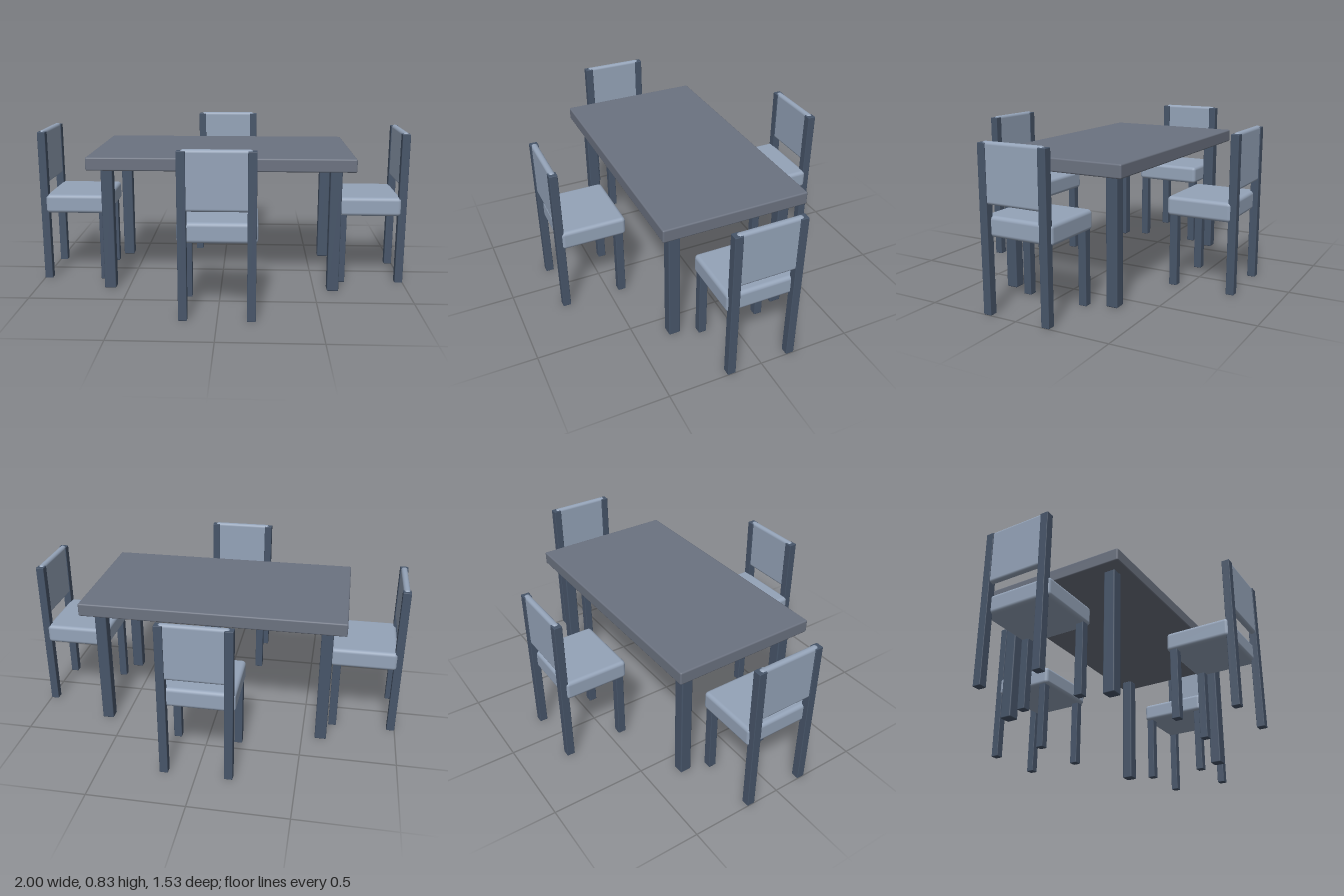
import * as THREE from 'three';
import { RoundedBoxGeometry } from 'three/addons/geometries/RoundedBoxGeometry.js';

const tableMat = new THREE.MeshStandardMaterial({ color: 0x6b7280 });
const woodMat = new THREE.MeshStandardMaterial({ color: 0x475569 });
const padMat = new THREE.MeshStandardMaterial({ color: 0x94a3b8 });

// Rounded block given by its size, centre and edge radius
function block(name, [w, h, d], [x, y, z], radius, material) {
  const mesh = new THREE.Mesh(new RoundedBoxGeometry(w, h, d, 3, radius), material);
  mesh.name = name;
  mesh.position.set(x, y, z);
  return mesh;
}

// Chair with its backrest towards local +z; z = 0 is midway between its legs
function createChair(name) {
  const chair = new THREE.Group();
  chair.name = name;
  chair.add(block('seat', [0.39, 0.103, 0.352], [0, 0.431, -0.022], 0.02, padMat));
  chair.add(block('backrest', [0.34, 0.295, 0.034], [0, 0.6875, 0.16], 0.016, padMat));
  for (const side of [-1, 1]) {
    const label = side > 0 ? 'Left' : 'Right';
    chair.add(block('frontLeg' + label, [0.043, 0.39, 0.043], [side * 0.166, 0.195, -0.16], 0.003, woodMat));
    chair.add(block('backPost' + label, [0.043, 0.828, 0.043], [side * 0.166, 0.414, 0.16], 0.003, woodMat));
  }
  return chair;
}

// Table top on four square legs
function createTable() {
  const table = new THREE.Group();
  table.name = 'table';
  table.add(block('tableTop', [1.394, 0.07, 0.784], [0, 0.694, 0], 0.008, tableMat));
  for (const x of [-0.6, 0.6]) {
    for (const z of [-0.303, 0.303]) {
      table.add(block('tableLeg', [0.062, 0.662, 0.062], [x, 0.331, z], 0.006, woodMat));
    }
  }
  return table;
}

export function createModel() {
  const model = new THREE.Group();
  model.name = 'diningSet';
  model.add(createTable());

  // One chair on each side, facing the table
  const places = [
    ['frontChair', 0, 0.585],
    ['leftChair', Math.PI / 2, 0.8185],
    ['backChair', Math.PI, 0.585],
    ['rightChair', -Math.PI / 2, 0.8185],
  ];
  for (const [name, angle, distance] of places) {
    const chair = createChair(name);
    chair.rotation.y = angle;
    chair.position.set(Math.sin(angle) * distance, 0, Math.cos(angle) * distance);
    model.add(chair);
  }
  return model;
}
